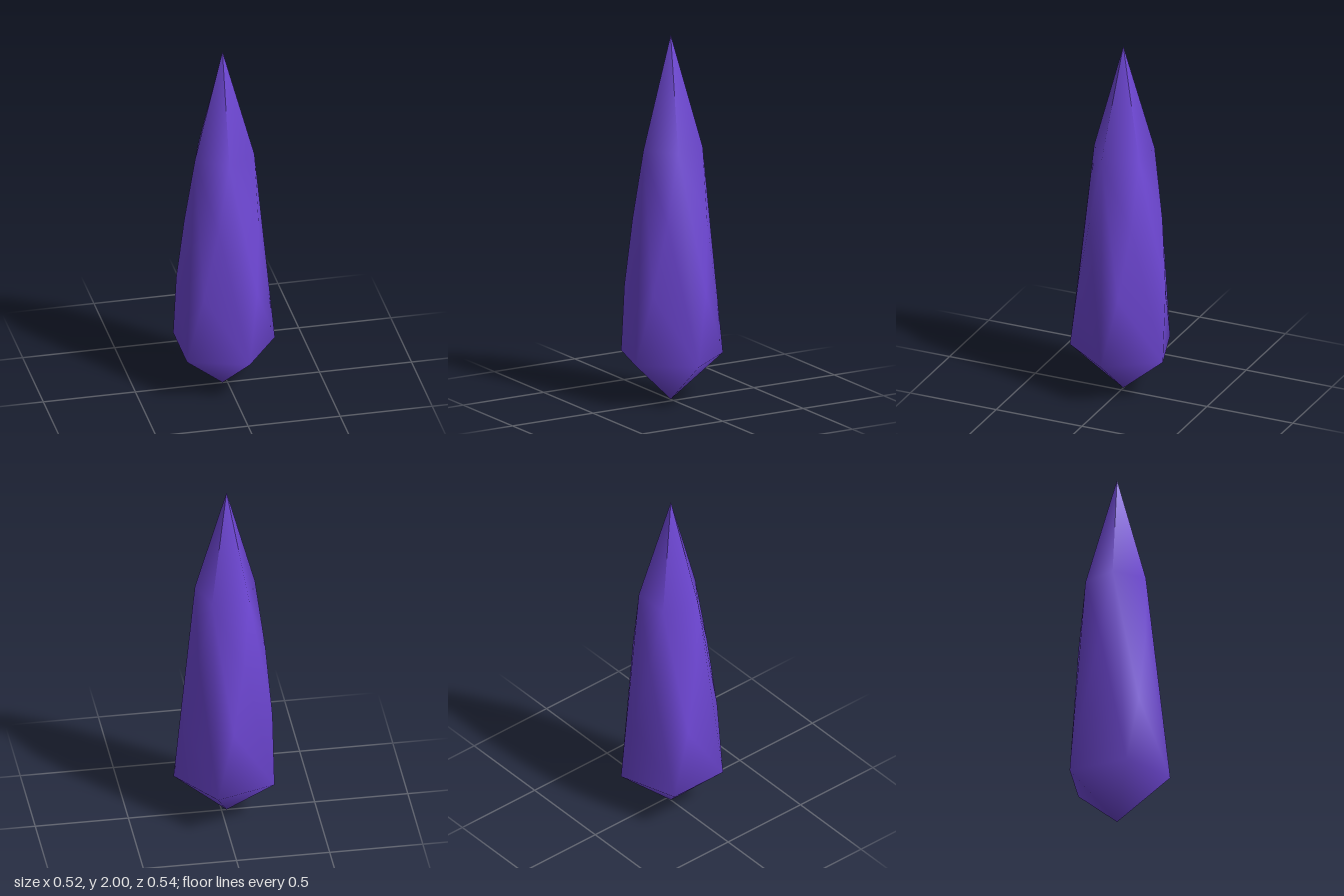
import * as THREE from 'three';
import { ConvexGeometry } from 'three/addons/geometries/ConvexGeometry.js';
import { mergeVertices } from 'three/addons/utils/BufferGeometryUtils.js';

const SIDES = 5, RINGS = 4, AXIS_X = -0.027;

export function createModel() {
  const group = new THREE.Group();
  group.name = 'crystal';
  const violet = new THREE.MeshStandardMaterial({ color: 0x7048d8 });
  violet.name = 'violet';

  // pentagonal rings that narrow and twist upward, between two tips
  const tip = new THREE.Vector3(AXIS_X, 2, 0);
  const points = [new THREE.Vector3(AXIS_X, 0, 0), tip];
  for (let j = 0; j < RINGS; j++) {
    const t = j / (RINGS - 1);
    const r = THREE.MathUtils.lerp(0.285, 0.17, t);
    const y = THREE.MathUtils.lerp(0.24, 1.39, t);
    for (let k = 0; k < SIDES; k++) {
      const a = THREE.MathUtils.degToRad(72 * k - 18 * j);
      points.push(new THREE.Vector3(AXIS_X + r * Math.cos(a), y, r * Math.sin(a)));
    }
  }

  // wrap the rings in one faceted skin with softened normals
  const hull = new ConvexGeometry(points);
  hull.deleteAttribute('normal');
  const smooth = mergeVertices(hull, 1e-4);
  smooth.computeVertexNormals();
  const geometry = smooth.toNonIndexed();

  // keep the edges that meet at the upper tip crisp
  const pos = geometry.attributes.position, nor = geometry.attributes.normal;
  const tri = new THREE.Triangle(), n = new THREE.Vector3();
  for (let i = 0; i < pos.count; i += 3) {
    tri.setFromAttributeAndIndices(pos, i, i + 1, i + 2);
    tri.getNormal(n);
    for (let c = i; c < i + 3; c++) {
      if (pos.getY(c) > 1.99) nor.setXYZ(c, n.x, n.y, n.z);
    }
  }

  const body = new THREE.Mesh(geometry, violet);
  body.name = 'crystalBody';
  group.add(body);
  return group;
}
